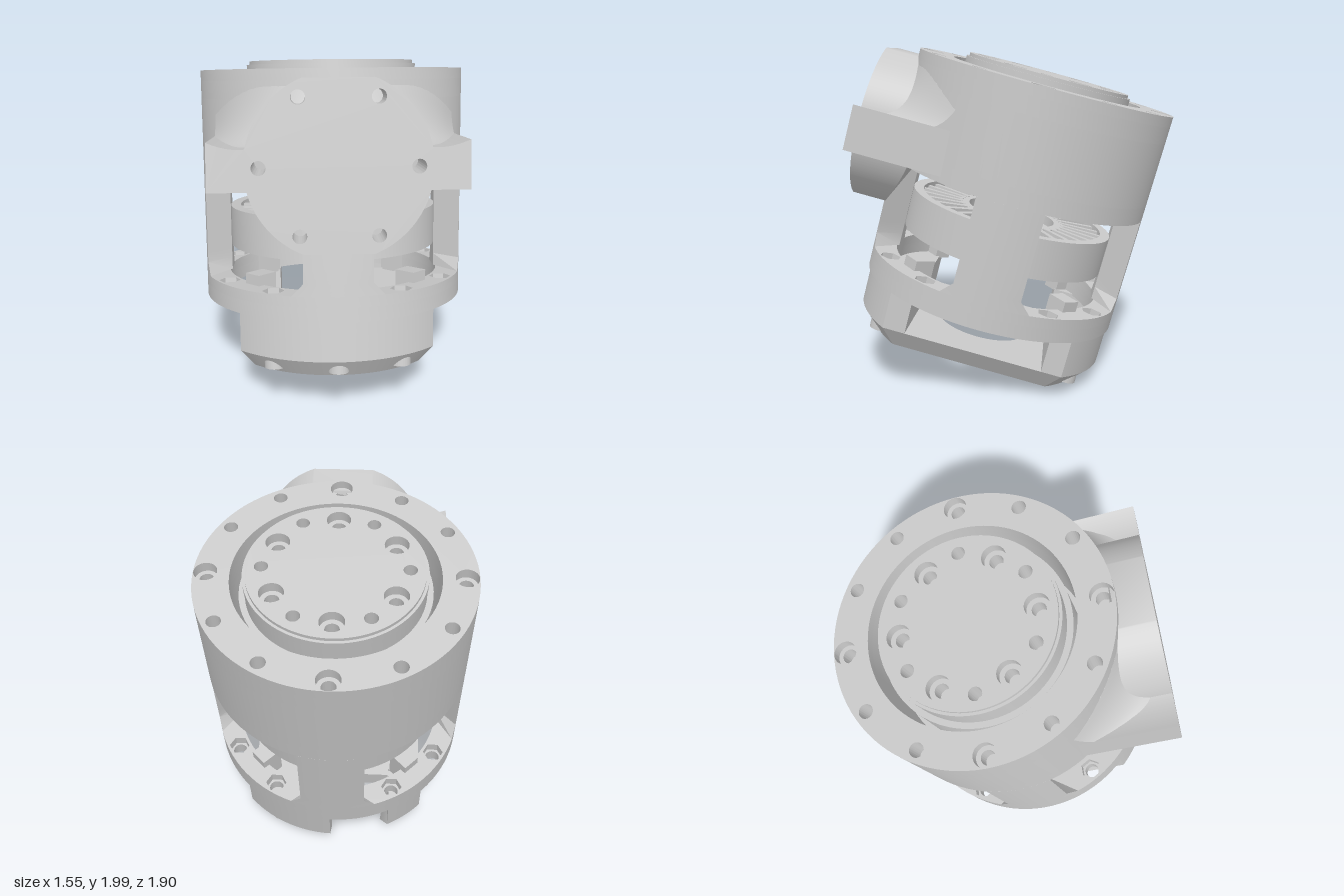
import * as THREE from 'three';
import { toCreasedNormals } from 'three/addons/utils/BufferGeometryUtils.js';

const metal = new THREE.MeshStandardMaterial({ color: 0xcacaca });
metal.name = 'light grey metal';
const PI = Math.PI;

export function createModel() {
  const model = new THREE.Group();
  model.name = 'tiltedActuator';
  // Everything is built upright around the y axis, then the whole body leans back
  const body = new THREE.Group();
  body.name = 'actuatorBody';
  body.position.z = 0.273;
  const tilt = new THREE.Group();
  tilt.name = 'tilt';
  tilt.rotation.x = -PI / 12;
  tilt.add(body);
  model.add(tilt);

  function add(name, geo) {
    const mesh = new THREE.Mesh(geo, metal);
    mesh.name = name;
    body.add(mesh);
    return mesh;
  }

  // Move every vertex by a rule, then smooth with sharp edges kept
  function bend(geo, rule) {
    const p = geo.attributes.position, v = new THREE.Vector3();
    for (let i = 0; i < p.count; i++) {
      v.fromBufferAttribute(p, i);
      rule(v);
      p.setXYZ(i, v.x, v.y, v.z);
    }
    return toCreasedNormals(geo, 0.5);
  }

  // Flat outline raised from y0 to y1 (shape y points to the back)
  function slab(name, shape, y0, y1, rule = () => {}, steps = 1) {
    const geo = new THREE.ExtrudeGeometry(shape, { depth: y1 - y0, steps, bevelEnabled: false, curveSegments: 48 });
    geo.rotateX(-PI / 2).translate(0, y0, 0);
    return add(name, bend(geo, rule));
  }

  const hole = (x, y, r) => new THREE.Path().absarc(x, y, r, 0, 2 * PI, true);
  function hexHole(x, y, r) {
    const pts = [];
    for (let i = 0; i < 6; i++) pts.push(new THREE.Vector2(x + r * Math.cos((i * PI) / 3), y - r * Math.sin((i * PI) / 3)));
    return new THREE.Path(pts);
  }
  function disc(r, inner = 0) {
    const s = new THREE.Shape().absarc(0, 0, r, 0, 2 * PI, false);
    if (inner) s.holes.push(hole(0, 0, inner));
    return s;
  }
  function ringHoles(shape, count, ringR, sizeAt, start = 0, make = hole) {
    for (let i = 0; i < count; i++) {
      const a = start + (i * 2 * PI) / count;
      shape.holes.push(make(Math.cos(a) * ringR, Math.sin(a) * ringR, sizeAt(i)));
    }
    return shape;
  }
  const cylinder = (r, y0, y1, x = 0, z = 0) =>
    new THREE.CylinderGeometry(r, r, y1 - y0, r > 0.1 ? 64 : 20).translate(x, (y0 + y1) / 2, z);

  // Upper housing with bolt holes; four of them counterbored
  const R = 0.775;
  slab('housingTop', ringHoles(disc(R, 0.575), 12, 0.708, i => (i % 3 ? 0.04 : 0.065)), 1.73, 1.79);
  slab('housingBoltLayer', ringHoles(disc(R, 0.575), 12, 0.708, () => 0.04), 1.63, 1.73);
  slab('housingWall', disc(R, 0.575), 1.25, 1.63);
  slab('housingLowerEdge', ringHoles(disc(R, 0.575), 12, 0.67, () => 0.04, PI / 12), 1.15, 1.25);

  // Four pillars between the windows, flared at the foot
  const pillar = new THREE.Shape().absarc(0, 0, R, PI / 2 - 0.245, PI / 2 + 0.245, false);
  pillar.lineTo(-0.057, 0.62).lineTo(0.057, 0.62).closePath();
  for (let i = 0; i < 4; i++) {
    slab('housingPillar', pillar, 0.59, 1.15, v => {
      if (v.y > 0.6) return;
      const r = Math.hypot(v.x, v.z), a = Math.atan2(v.x, -v.z) * 1.35;
      v.x = r * Math.sin(a);
      v.z = -r * Math.cos(a);
    }, 8).rotation.y = (i * PI) / 2;
  }

  // Lower flange with hexagonal nut pockets
  slab('lowerFlange', ringHoles(disc(R, 0.635), 12, 0.705, () => 0.042), 0.45, 0.53);
  slab('flangeNutPockets', ringHoles(disc(R, 0.635), 12, 0.705, () => 0.062, 0, hexHole), 0.53, 0.59);

  // Output disc with two bolt patterns
  const face = (r, big) => ringHoles(ringHoles(disc(r), 6, 0.378, () => big, PI / 6), 6, 0.4, () => 0.038);
  slab('outputFace', face(0.487, 0.068), 1.78, 1.84);
  slab('outputFaceLower', face(0.5, 0.04), 1.68, 1.78);
  slab('outputRim', disc(0.503, 0.487), 1.78, 1.82);
  add('outputCore', cylinder(0.535, 1.3, 1.68));
  add('outputBase', cylinder(0.572, 1.2, 1.3));

  // Screw heads hanging below the output base
  for (let i = 0; i < 12; i++) {
    const a = (i * PI) / 6 + PI / 12;
    add('screwHead', cylinder(0.045, 1.15, 1.21, 0.52 * Math.cos(a), 0.52 * Math.sin(a)));
  }

  // Motor drum with radial fins
  slab('drumRing', disc(0.62, 0.56), 0.75, 0.985);
  add('drumWeb', cylinder(0.565, 0.83, 0.91));
  add('drumCore', cylinder(0.18, 0.75, 1.2));
  slab('finRing', disc(0.33, 0.27), 0.77, 0.965);
  for (let i = 0; i < 32; i++) {
    const fin = add('drumFin', new THREE.BoxGeometry(0.26, 0.2, 0.035).translate(0.44, 0.867, 0));
    fin.rotation.y = (i * PI) / 16;
  }

  // Low lugs on the inner edge of the flange at the windows
  for (let i = 0; i < 4; i++) {
    const lug = add('flangeLug', new THREE.BoxGeometry(0.13, 0.2, 0.11).translate(0.605, 0.55, 0));
    lug.rotation.y = PI / 4 + (i * PI) / 2;
  }

  // Base floor: a disc cut flat at both sides, with bore and rear notch
  const rb = 0.76, half = 0.545, corner = Math.acos(half / rb);
  const notchA = Math.acos(0.02 / rb), notchB = Math.acos(-0.34 / rb);
  const floor = new THREE.Shape()
    .absarc(0, 0, rb, corner, notchA, false)
    .lineTo(0.02, 0.32).lineTo(-0.34, 0.32)
    .absarc(0, 0, rb, notchB, PI - corner, false)
    .absarc(0, 0, rb, PI + corner, 2 * PI - corner, false);
  floor.closePath();
  floor.holes.push(hole(0, 0, 0.28));
  const chamfer = v => {
    const r = Math.hypot(v.x, v.z);
    if (v.y < 0.12 && r > 0.7) {
      v.x *= 0.66 / r;
      v.z *= 0.66 / r;
    }
  };
  slab('baseFloor', floor, 0.115, 0.225, chamfer);

  // Upright blocks joining the base floor to the flange
  function block(name, a0, a1, inner) {
    const s = new THREE.Shape().absarc(0, 0, rb, a0, a1, false);
    s.lineTo(rb * Math.cos(a1), inner).lineTo(rb * Math.cos(a0), inner).closePath();
    slab(name, s, 0.225, 0.46);
  }
  block('baseFrontBlock', PI + corner, 2 * PI - corner, -0.4);
  block('baseBackBlock', corner, notchA, 0.41);
  block('baseBackBlock', notchB, PI - corner, 0.41);

  // Screw sockets set into the base chamfer
  for (const a of [-0.55, 0, 0.55]) {
    const mesh = slab('baseSocket', disc(0.058, 0.038), 0.145, 0.225);
    mesh.position.set(0.675 * Math.sin(a), 0, 0.675 * Math.cos(a));
    if (a > 0) {
      const back = mesh.clone();
      back.position.z *= -1;
      body.add(back);
    }
  }

  // Front mounting boss: clipped round plate with side wings, its back following the housing
  const rp = 0.475, clip = 1.184, up = 0.2, down = 0.255;
  const boss = new THREE.Shape();
  boss.moveTo(0.66, -0.12).lineTo(0.655, 0.13)
    .quadraticCurveTo(0.55, 0.085, rp * Math.cos(up), rp * Math.sin(up))
    .absarc(0, 0, rp, up, clip, false)
    .absarc(0, 0, rp, PI - clip, PI - up, false)
    .quadraticCurveTo(-0.55, 0.085, -0.655, 0.13).lineTo(-0.66, -0.12)
    .absarc(0, 0, rp, PI + down, PI + clip, false)
    .absarc(0, 0, rp, 2 * PI - clip, 2 * PI - down, false);
  boss.closePath();
  ringHoles(boss, 6, 0.4, () => 0.037);
  const bossGeo = new THREE.ExtrudeGeometry(boss, { depth: 1, bevelEnabled: false, curveSegments: 32 });
  add('mountingBoss', bend(bossGeo, v => {
    v.z = v.z > 0.5 ? 0.948 : Math.sqrt(0.592 - v.x * v.x);
    v.y += 1.302;
  }));

  // Concave blend from the wings up into the housing, lower towards the wing tips
  const blend = new THREE.Shape();
  blend.moveTo(-0.005, 1.36).lineTo(0.25, 1.36).lineTo(0.25, 1.39);
  blend.quadraticCurveTo(0.06, 1.42, 0, 1.7);
  blend.lineTo(-0.005, 1.7).closePath();
  const blendGeo = new THREE.ExtrudeGeometry(blend, { depth: 1.31, steps: 32, bevelEnabled: false, curveSegments: 10 });
  add('wingBlend', bend(blendGeo, v => {
    const d = v.x, x = 0.655 - v.z;
    v.x = x;
    v.y = 1.36 + (v.y - 1.36) * (1 - 0.45 * Math.max(0, (Math.abs(x) - 0.35) / 0.305) ** 2);
    v.z = Math.min(0.94, Math.sqrt(R * R - x * x) + d);
  }));

  return model;
}
